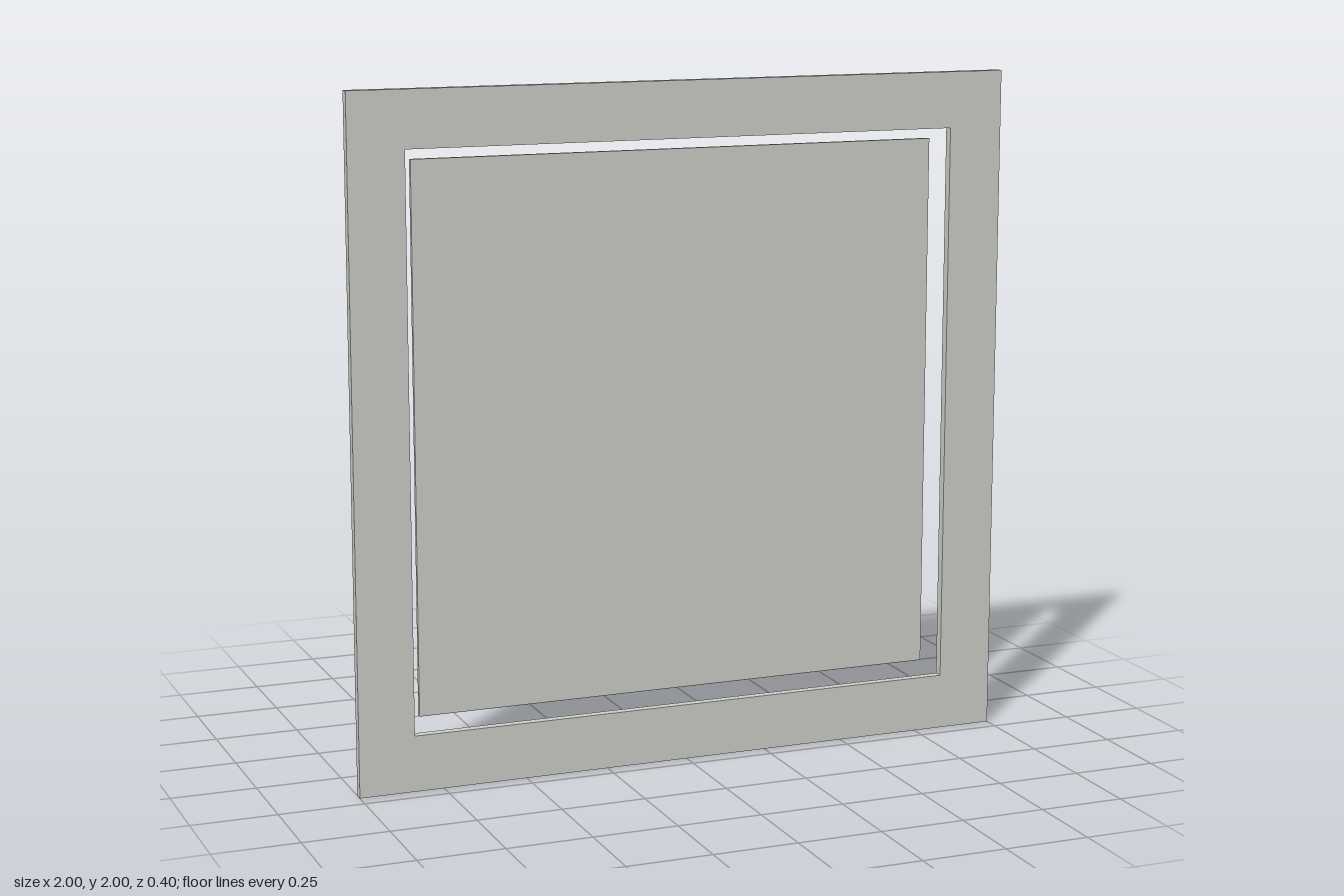
import * as THREE from 'three';

export function createModel() {
  const model = new THREE.Group();
  model.name = 'ventCover';

  const grey = new THREE.MeshStandardMaterial({ color: 0xcfcfcb, flatShading: true, side: THREE.DoubleSide });
  grey.name = 'lightGrey';
  const dark = new THREE.MeshStandardMaterial({ color: 0x333333, side: THREE.DoubleSide });
  dark.name = 'darkGrey';

  const add = (name, geometry, material, y, z) => {
    const mesh = new THREE.Mesh(geometry, material);
    mesh.name = name;
    mesh.position.set(0, y, z);
    model.add(mesh);
    return mesh;
  };

  // Square outline centred on the origin
  const square = (Type, h) => {
    const s = new Type();
    s.moveTo(-h, -h).lineTo(h, -h).lineTo(h, h).lineTo(-h, h).closePath();
    return s;
  };

  // Front frame with its square opening
  const outline = square(THREE.Shape, 1);
  outline.holes.push(square(THREE.Path, 0.835));
  add('frame', new THREE.ExtrudeGeometry(outline, { depth: 0.027, bevelEnabled: false }), grey, 1, 0.173);

  // Thin panel floating behind the opening
  add('panel', new THREE.BoxGeometry(1.6, 1.6, 0.013), grey, 1, 0.1265);

  // Open duct collar on the back
  const collar = new THREE.CylinderGeometry(0.4, 0.4, 0.32, 64, 1, true).rotateX(Math.PI / 2);
  add('ductCollar', collar, grey, 1, -0.04);

  // Dark duct opening inside the collar, facing backwards
  add('ductOpening', new THREE.CircleGeometry(0.272, 64).rotateY(Math.PI), dark, 1, 0.117);

  return model;
}
